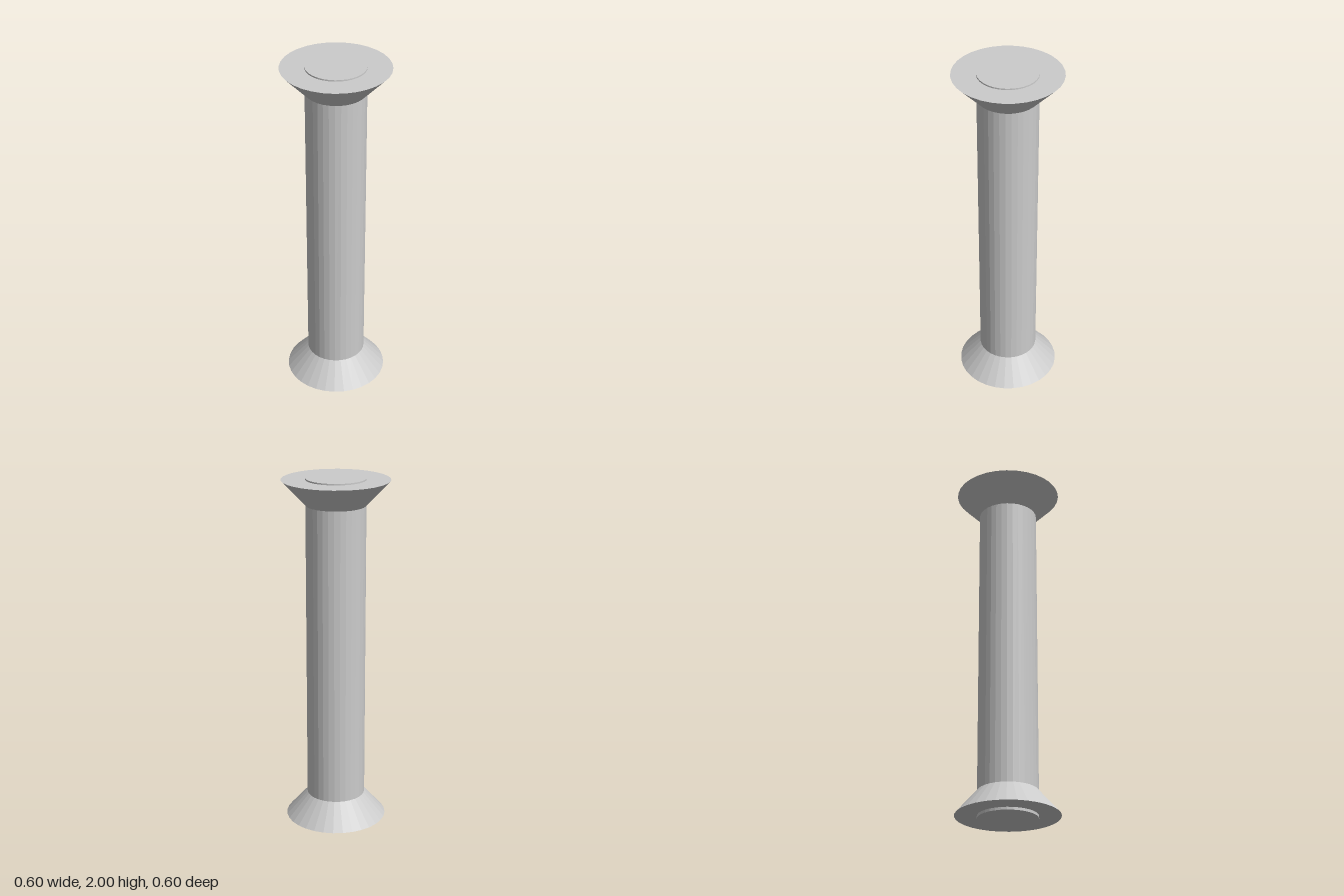
import * as THREE from 'three';

const SIDES = 32;
const SHAFT_RADIUS = 0.166;

export function createModel() {
  const model = new THREE.Group();
  model.name = 'column';
  const material = new THREE.MeshStandardMaterial({ color: 0xcccccc, flatShading: true });

  // Capped round section spanning y0 to y1
  function addSection(name, bottomRadius, topRadius, y0, y1) {
    const geometry = new THREE.CylinderGeometry(topRadius, bottomRadius, y1 - y0, SIDES);
    const mesh = new THREE.Mesh(geometry, material);
    mesh.name = name;
    mesh.position.y = (y0 + y1) / 2;
    model.add(mesh);
  }

  // Shaft runs the full height and shows slightly past both flares
  addSection('shaft', SHAFT_RADIUS, SHAFT_RADIUS, 0, 2);
  addSection('flaredBase', 0.287, SHAFT_RADIUS, 0.015, 0.153);
  addSection('flaredCapital', SHAFT_RADIUS, 0.299, 1.852, 1.992);

  return model;
}
